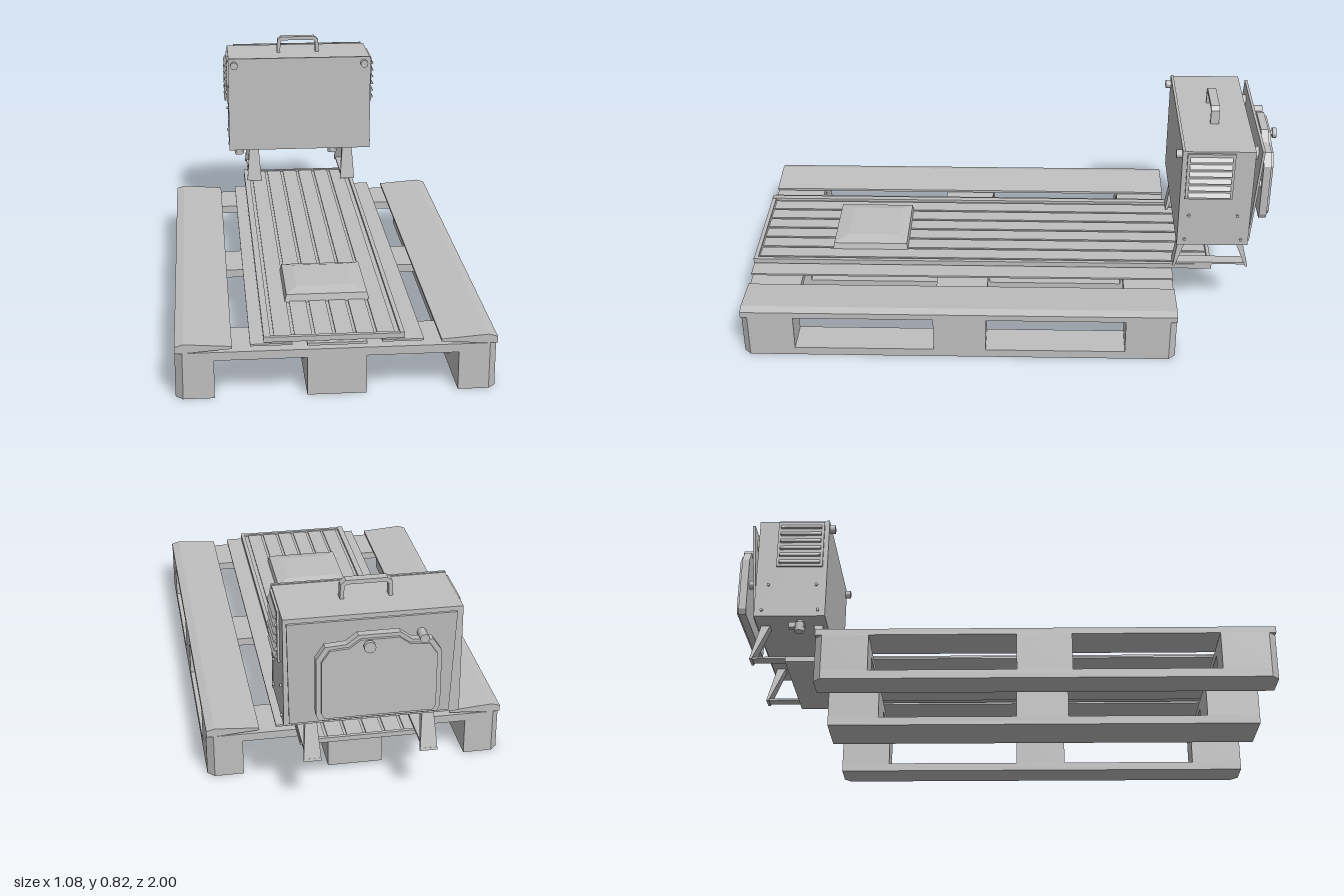
import * as THREE from 'three';

export function createModel() {
  const root = new THREE.Group();
  const grey = new THREE.MeshStandardMaterial({ color: 0xbfbfbf });
  grey.name = 'plain grey';
  grey.side = THREE.DoubleSide;

  const add = (name, geo, parent = root) => {
    const m = new THREE.Mesh(geo, grey);
    m.name = name;
    parent.add(m);
    return m;
  };
  const group = (name) => {
    const g = new THREE.Group();
    g.name = name;
    root.add(g);
    return g;
  };
  // box given by its limits on each axis
  const box = (name, x0, x1, y0, y1, z0, z1, parent) => {
    const m = add(name, new THREE.BoxGeometry(x1 - x0, y1 - y0, z1 - z0), parent);
    m.position.set((x0 + x1) / 2, (y0 + y1) / 2, (z0 + z1) / 2);
    return m;
  };
  const poly = (pts) => new THREE.Shape(pts.map(p => new THREE.Vector2(...p)));
  const extrude = (pts, depth) =>
    new THREE.ExtrudeGeometry(poly(pts), { depth, bevelEnabled: false });
  // box whose top is moved and resized: base and top are [x0, x1, z0, z1]
  const taper = (name, base, top, y0, y1, parent) => {
    const geo = new THREE.BoxGeometry(1, 1, 1).toNonIndexed();
    const p = geo.attributes.position;
    for (let i = 0; i < p.count; i++) {
      const r = p.getY(i) > 0 ? top : base;
      p.setXYZ(i, p.getX(i) > 0 ? r[1] : r[0], p.getY(i) > 0 ? y1 : y0, p.getZ(i) > 0 ? r[3] : r[2]);
    }
    geo.computeVertexNormals();
    return add(name, geo, parent);
  };
  const disc = (name, r, depth, x, y, z, axis, parent, sides = 12) => {
    const geo = new THREE.CylinderGeometry(r, r, depth, sides);
    if (axis === 'z') geo.rotateX(Math.PI / 2);
    if (axis === 'x') geo.rotateZ(Math.PI / 2);
    const m = add(name, geo, parent);
    m.position.set(x, y, z);
    return m;
  };

  // Pallet: runners, blocks, cross beams and deck boards
  const pallet = group('pallet');
  const rows = [[-0.62, -0.43], [0.09, 0.285], [0.805, 1]];
  const c = 0.025;
  for (const s of [-1, 1]) {
    const runner = extrude([[0.41 * s, -0.62], [(0.54 - c) * s, -0.62], [0.54 * s, -0.62 + c],
      [0.54 * s, 1 - c], [(0.54 - c) * s, 1], [0.41 * s, 1]], 0.032);
    runner.rotateX(Math.PI / 2).translate(0, 0.032, 0);
    add('outerRunner', runner, pallet);
    rows.forEach(([z0, z1], i) => {
      const a = i === 0 ? c : 0, b = i === 2 ? c : 0;
      const block = extrude([[0.41 * s, z0], [(0.54 - a) * s, z0], [0.54 * s, z0 + a],
        [0.54 * s, z1 - b], [(0.54 - b) * s, z1], [0.41 * s, z1]], 0.135);
      block.rotateX(Math.PI / 2).translate(0, 0.167, 0);
      add('outerBlock', block, pallet);
    });
    const board = extrude([[0.35 * s, 0.178], [0.51 * s, 0.167], [0.54 * s, 0.167],
      [0.54 * s, 0.19], [0.51 * s, 0.199], [0.35 * s, 0.187]], 1.62);
    board.translate(0, 0, -0.62);
    add('outerDeckBoard', board, pallet);
    box('innerDeckBoard', s > 0 ? 0.15 : -0.29, s > 0 ? 0.29 : -0.15, 0.185, 0.192, -0.62, 1, pallet);
  }
  box('middleRunner', -0.1, 0.1, 0, 0.032, -0.62, 1, pallet);
  box('middleDeckBoard', -0.1, 0.1, 0.18, 0.189, -0.62, 1, pallet);
  for (const [z0, z1] of rows) {
    box('middleBlock', -0.1, 0.1, 0.03, 0.138, z0, z1, pallet);
    box('crossBeam', -0.515, 0.515, 0.137, 0.167, z0, z1, pallet);
  }

  // Slatted mat lying along the pallet
  const mat = group('mat');
  box('matBase', -0.245, 0.225, 0.197, 0.207, -0.77, 1, mat);
  for (let i = 0; i < 7; i++) {
    const x = -0.215 + i * 0.069;
    if (i < 6) box('matSlat', x + 0.005, x + 0.064, 0.206, 0.212, -0.755, 0.98, mat);
  }
  box('matRim', -0.245, -0.222, 0.207, 0.217, -0.77, 1, mat);
  box('matRim', 0.21, 0.225, 0.207, 0.217, -0.77, 1, mat);
  box('matEnd', -0.245, 0.225, 0.207, 0.215, 0.985, 1, mat);
  box('matEnd', -0.245, 0.225, 0.207, 0.215, -0.77, -0.757, mat);

  // Low tray resting on the mat
  taper('tray', [-0.157, 0.142, 0.408, 0.702], [-0.15, 0.135, 0.412, 0.697], 0.208, 0.236, mat);
  taper('trayCushion', [-0.15, 0.135, 0.412, 0.697], [-0.11, 0.085, 0.45, 0.645], 0.236, 0.246, mat);

  // Heater cabinet
  const heater = group('heater');
  box('cabinet', -0.308, 0.298, 0.355, 0.757, -0.888, -0.632, heater);
  box('frontPanel', -0.31, 0.3, 0.355, 0.76, -0.632, -0.622, heater);
  for (const x of [-0.285, 0.272]) disc('frontScrew', 0.016, 0.022, x, 0.733, -0.612, 'z', heater);
  for (const s of [-1, 1]) {
    const x = s > 0 ? 0.298 : -0.308;
    // Louvred vents
    const vent = box('ventPlate', -0.004, 0.004, 0.56, 0.75, -0.815, -0.64, heater);
    vent.position.x = x + s * 0.004;
    for (let i = 0; i < 6; i++) {
      const y = 0.578 + i * 0.03;
      const slat = extrude([[0, y - 0.008], [s * 0.014, y - 0.006], [0, y + 0.014]], 0.155);
      slat.translate(x + s * 0.005, 0, -0.805);
      add('ventLouvre', slat, heater);
    }
    for (const [y, z] of [[0.38, -0.65], [0.38, -0.86], [0.485, -0.66], [0.485, -0.84]])
      disc('sideRivet', 0.006, 0.012, x, y, z, 'x', heater, 8);
  }

  // Carrying handle
  const handle = extrude([[-0.094, 0.757], [-0.092, 0.812], [-0.075, 0.825], [0.067, 0.825],
    [0.085, 0.81], [0.087, 0.757], [0.073, 0.757], [0.072, 0.803], [0.062, 0.81],
    [-0.07, 0.81], [-0.079, 0.803], [-0.08, 0.757]], 0.032);
  handle.translate(0, 0, -0.773);
  add('handle', handle, heater);

  // Splayed legs with foot rails
  for (const s of [-1, 1]) {
    const mid = 0.203 * s;
    const span = (w, z0, z1) => [mid - w, mid + w, z0, z1];
    taper('frontLeg', span(0.031, -0.628, -0.62), span(0.02, -0.675, -0.64), 0.215, 0.357, heater);
    taper('rearLeg', span(0.031, -0.907, -0.898), span(0.02, -0.872, -0.838), 0.215, 0.357, heater);
    box('footRail', mid - 0.025, mid + 0.02, 0.217, 0.225, -0.905, -0.622, heater);
  }

  // Valves under the cabinet
  for (const x of [-0.265, 0.145]) {
    disc('valveKnob', 0.02, 0.034, x, 0.327, -0.72, 'y', heater, 8);
    disc('valveStem', 0.012, 0.02, x, 0.348, -0.72, 'y', heater, 8);
    box('valveFitting', x - 0.012, x + 0.012, 0.325, 0.345, -0.76, -0.7, heater);
  }

  // Leaning back shield and its supports
  taper('backShield', [-0.27, 0.28, -0.895, -0.888], [-0.28, 0.29, -0.922, -0.912], 0.365, 0.755, heater);
  for (const x of [-0.21, 0.2]) {
    disc('shieldSpacer', 0.025, 0.03, x, 0.7, -0.9, 'z', heater);
    disc('doorSpacer', 0.016, 0.04, x * 0.85, 0.55, -0.922, 'z', heater);
  }

  // Door with stepped top and knobs
  const outline = (k) => [[-0.21, 0.41], [0.19, 0.41], [0.2, 0.43], [0.2, 0.64], [0.17, 0.685],
    [0.1, 0.69], [0.06, 0.72], [-0.08, 0.72], [-0.12, 0.69], [-0.19, 0.685], [-0.22, 0.64],
    [-0.22, 0.43]].map(([x, y]) => [-0.01 + (x + 0.01) * k, 0.56 + (y - 0.56) * k]);
  const door = extrude(outline(1), 0.028);
  door.translate(0, 0, -0.965);
  add('door', door, heater);
  const doorFace = extrude(outline(0.92), 0.012);
  doorFace.translate(0, 0, -0.975);
  add('doorFace', doorFace, heater);
  disc('doorKnob', 0.02, 0.015, 0.028, 0.69, -0.992, 'z', heater);
  disc('doorKnobStem', 0.01, 0.03, 0.028, 0.69, -0.98, 'z', heater);
  disc('doorBolt', 0.016, 0.05, -0.16, 0.69, -0.945, 'z', heater);

  return root;
}
